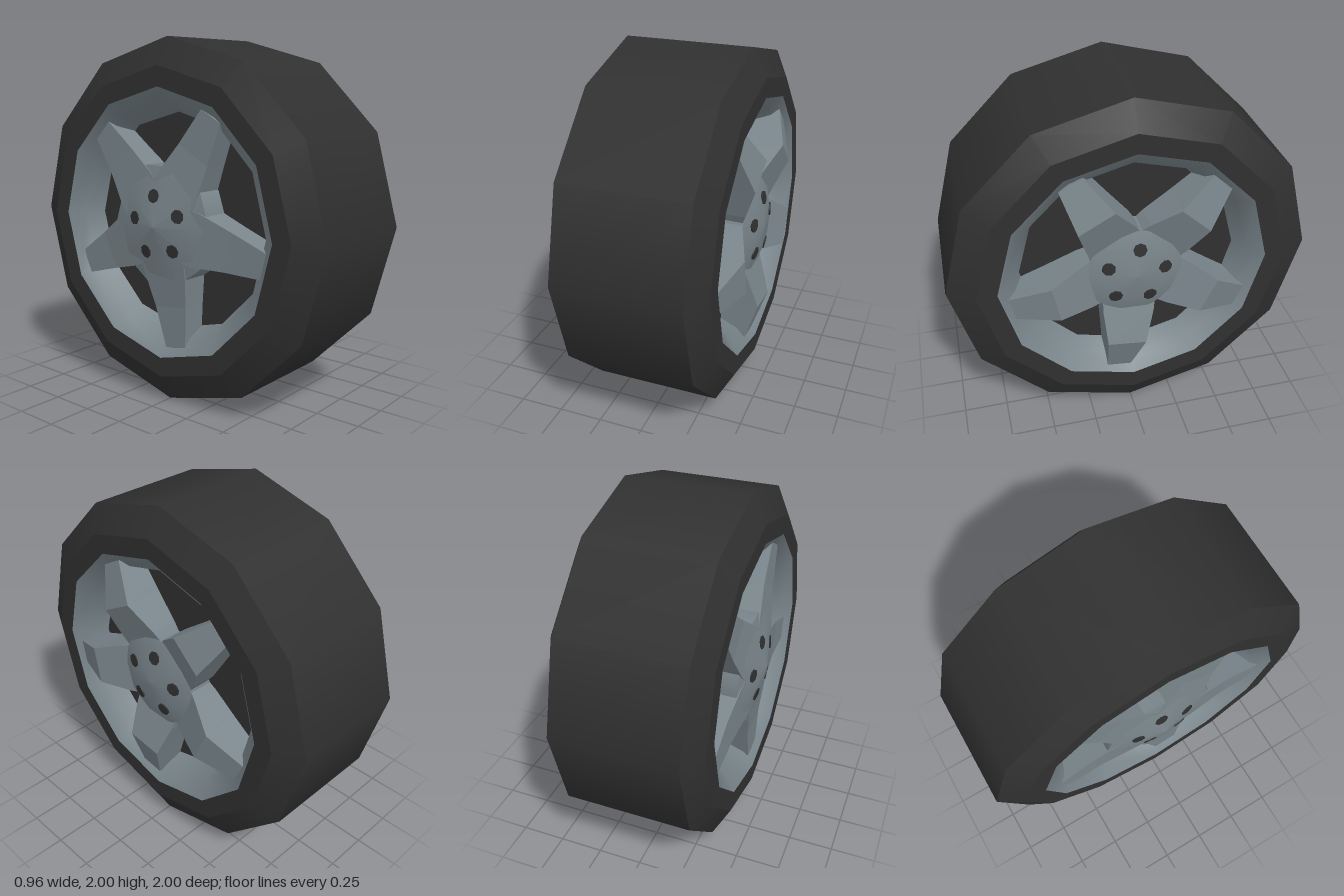
import * as THREE from 'three';
import { mergeGeometries } from 'three/addons/utils/BufferGeometryUtils.js';

const SPOKES = 5;
const STEP = (Math.PI * 2) / SPOKES;
const FIRST = THREE.MathUtils.degToRad(29); // first spoke, measured from up towards +z

// Revolve [radius, x] points about the x axis; each strip is smooth around, hard at its rims
function revolve(profile, sides, smooth = false) {
  const pts = profile.map(([r, x]) => new THREE.Vector2(r, x));
  const strips = smooth ? [pts] : pts.slice(1).map((p, i) => [pts[i], p]);
  return mergeGeometries(strips.map((s) => new THREE.LatheGeometry(s, sides))).rotateZ(-Math.PI / 2);
}

// Solid spoke lofted along the radius from sections of [radius, halfWidth, xBack, xFront]
function spokeGeometry(sections) {
  const rings = sections.map(([r, w, back, front]) => [
    [front, r, w], [front, r, -w], [back, r, -w], [back, r, w],
  ]);
  const pos = [];
  const quad = (a, b, c, d) => pos.push(...a, ...b, ...c, ...a, ...c, ...d);
  for (let i = 0; i < rings.length - 1; i++) {
    for (let j = 0; j < 4; j++) {
      const k = (j + 1) % 4;
      quad(rings[i][j], rings[i][k], rings[i + 1][k], rings[i + 1][j]);
    }
  }
  quad(...rings[rings.length - 1]);
  quad(...[...rings[0]].reverse());
  const geo = new THREE.BufferGeometry();
  geo.setAttribute('position', new THREE.Float32BufferAttribute(pos, 3));
  geo.computeVertexNormals();
  return geo;
}

export function createModel() {
  const model = new THREE.Group();
  model.name = 'wheel';
  const rubber = new THREE.MeshStandardMaterial({ color: 0x303030 });
  rubber.name = 'rubber';
  const metal = new THREE.MeshStandardMaterial({ color: 0x78848a });
  metal.name = 'metal';

  const wheel = new THREE.Group();
  wheel.name = 'wheelAssembly';
  wheel.position.y = 1;
  model.add(wheel);

  const add = (name, geo, mat, parent = wheel) => {
    const mesh = new THREE.Mesh(geo, mat);
    mesh.name = name;
    parent.add(mesh);
    return mesh;
  };

  // Twelve-sided tyre with bevelled shoulders
  add('tyre', revolve([
    [0.74, -0.43], [0.85, -0.43], [1, -0.35], [1, 0.35], [0.85, 0.43], [0.74, 0.43],
  ], 12), rubber);

  // Concave rim dishes and the dark discs behind the spokes
  add('leftRim', revolve([[0.74, 0.43], [0.655, 0.36], [0.6, 0.25]], 12, true), metal);
  add('rightRim', revolve([[0.6, -0.25], [0.655, -0.36], [0.74, -0.43]], 12, true), metal);
  add('leftDisc', revolve([[0.61, 0.26], [0, 0.26]], 12), rubber);
  add('rightDisc', revolve([[0, -0.26], [0.61, -0.26]], 12), rubber);

  // Hub domes
  add('leftHub', revolve([[0.275, 0.26], [0.275, 0.4]], 10), metal);
  add('leftHubCap', revolve([[0.275, 0.4], [0.165, 0.438], [0, 0.455]], 10, true), metal);
  add('rightHub', revolve([[0.34, -0.41], [0.34, -0.26]], 10), metal);
  add('rightHubCap', revolve([[0, -0.48], [0.255, -0.43], [0.34, -0.41]], 10, true), metal);

  // Tapered spokes, ridged on the left face and flat on the right
  const spokeGeo = spokeGeometry([
    [0.2, 0.15, -0.43, 0.39],
    [0.27, 0.145, -0.422, 0.415],
    [0.45, 0.11, -0.402, 0.48],
    [0.68, 0.07, -0.395, 0.405],
  ]);
  // Wheel bolts, thin dark plates between the spokes on both hub caps
  const boltGeo = new THREE.CylinderGeometry(0.038, 0.038, 0.009, 8).rotateZ(-Math.PI / 2);
  for (let i = 0; i < SPOKES; i++) {
    add('spoke', spokeGeo, metal).rotation.x = FIRST + i * STEP;

    const bolts = new THREE.Group();
    bolts.name = 'bolts';
    bolts.rotation.x = FIRST + (i + 0.5) * STEP;
    wheel.add(bolts);
    const left = add('leftBolt', boltGeo, rubber, bolts);
    left.position.set(0.437, 0.165, 0);
    left.rotation.z = 0.2;
    const right = add('rightBolt', boltGeo, rubber, bolts);
    right.position.set(-0.447, 0.165, 0);
    right.rotation.z = -0.194;
  }
  return model;
}
